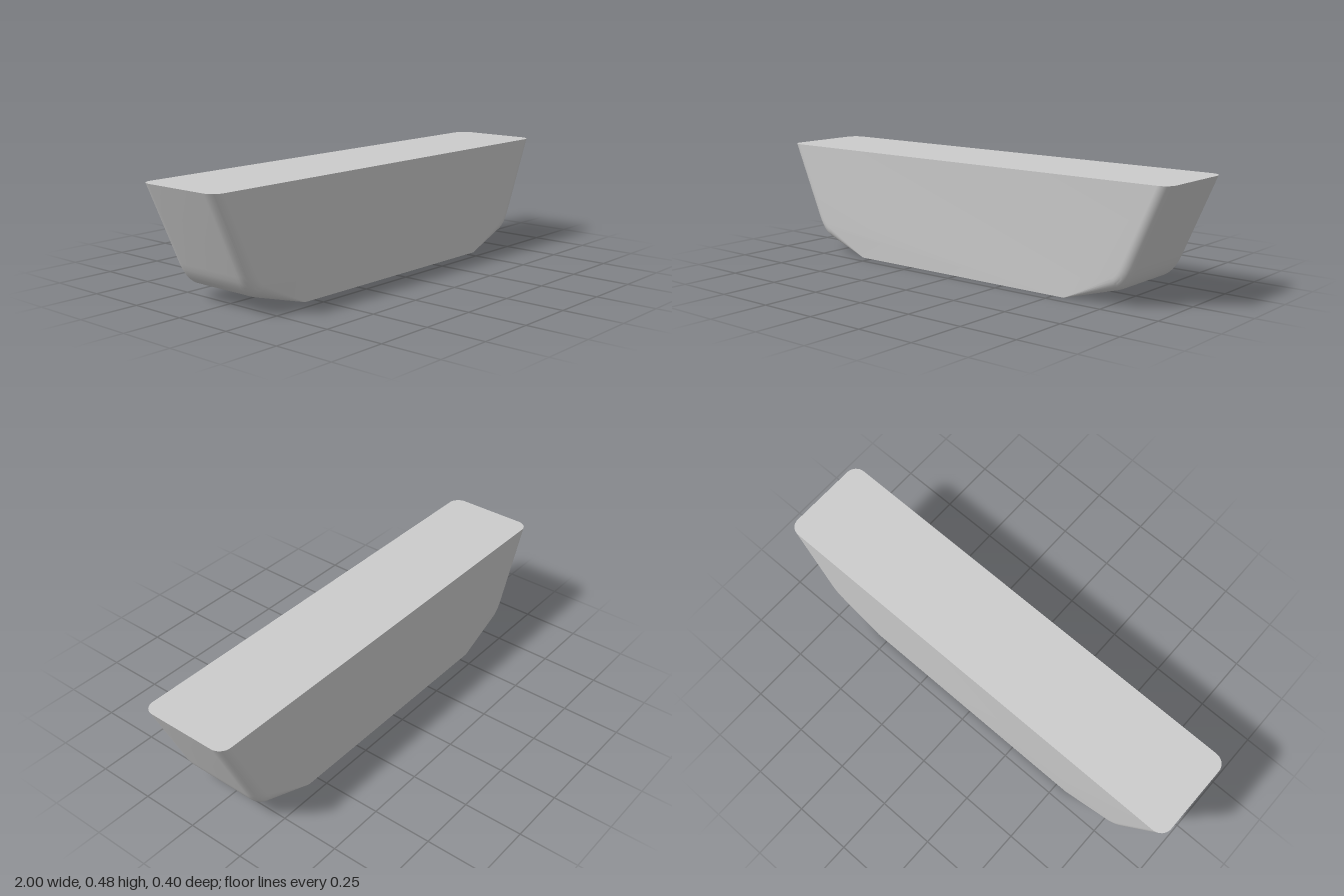
import * as THREE from 'three';
import { toCreasedNormals } from 'three/addons/utils/BufferGeometryUtils.js';

const HALF_DEPTH = 0.2, HEIGHT = 0.477, RADIUS = 0.05, STEPS = 8;

// Right half of the outline, bottom to top: [x, y, inset direction x, y, rounding 0..1]
function halfProfile() {
  const bend = new THREE.QuadraticBezierCurve(
    new THREE.Vector2(0.77, 0.057), new THREE.Vector2(0.82, 0.07), new THREE.Vector2(0.855, 0.15));
  const rows = [[0.55, 0, 0, 0, 0]];
  for (let i = 0; i <= 6; i++) {
    const p = bend.getPoint(i / 6), t = bend.getTangent(i / 6);
    rows.push([p.x, p.y, -t.y, t.x, 1]);
  }
  rows.push([1, HEIGHT, -1, 0, 1]);
  return rows;
}

function hullGeometry() {
  const right = halfProfile();
  const left = right.map(([x, y, nx, ny, k]) => [-x, y, -nx, ny, k]).reverse();
  const rows = [...right, ...left];

  // Rounding from the front face to the back face
  const columns = [];
  for (let j = 0; j <= STEPS; j++) {
    const a = (j / STEPS) * Math.PI / 2;
    columns.push({ inset: 1 - Math.sin(a), drop: 1 - Math.cos(a), side: 1 });
  }
  for (let j = STEPS; j >= 0; j--) columns.push({ ...columns[j], side: -1 });

  const positions = [], index = [];
  for (const [x, y, nx, ny, k] of rows) {
    for (const c of columns) {
      const d = RADIUS * k * c.inset;
      positions.push(x + nx * d, y + ny * d, c.side * (HALF_DEPTH - RADIUS * k * c.drop));
    }
  }

  // Skin around the outline, including the flat top and bottom
  const n = rows.length, m = columns.length;
  for (let i = 0; i < n; i++) {
    const next = (i + 1) % n;
    for (let j = 0; j < m - 1; j++) {
      const a = i * m + j, b = next * m + j;
      index.push(a, a + 1, b, b, a + 1, b + 1);
    }
  }
  // Flat front and back faces
  for (let i = 1; i < n - 1; i++) {
    index.push(0, i * m, (i + 1) * m);
    index.push(m - 1, (i + 1) * m + m - 1, i * m + m - 1);
  }

  const geometry = new THREE.BufferGeometry();
  geometry.setAttribute('position', new THREE.Float32BufferAttribute(positions, 3));
  geometry.setIndex(index);
  return toCreasedNormals(geometry, 0.235);
}

export function createModel() {
  const group = new THREE.Group();
  group.name = 'taperedBlock';
  const body = new THREE.Mesh(hullGeometry(), new THREE.MeshStandardMaterial({ color: 0xcccccc }));
  body.name = 'body';
  group.add(body);
  return group;
}
